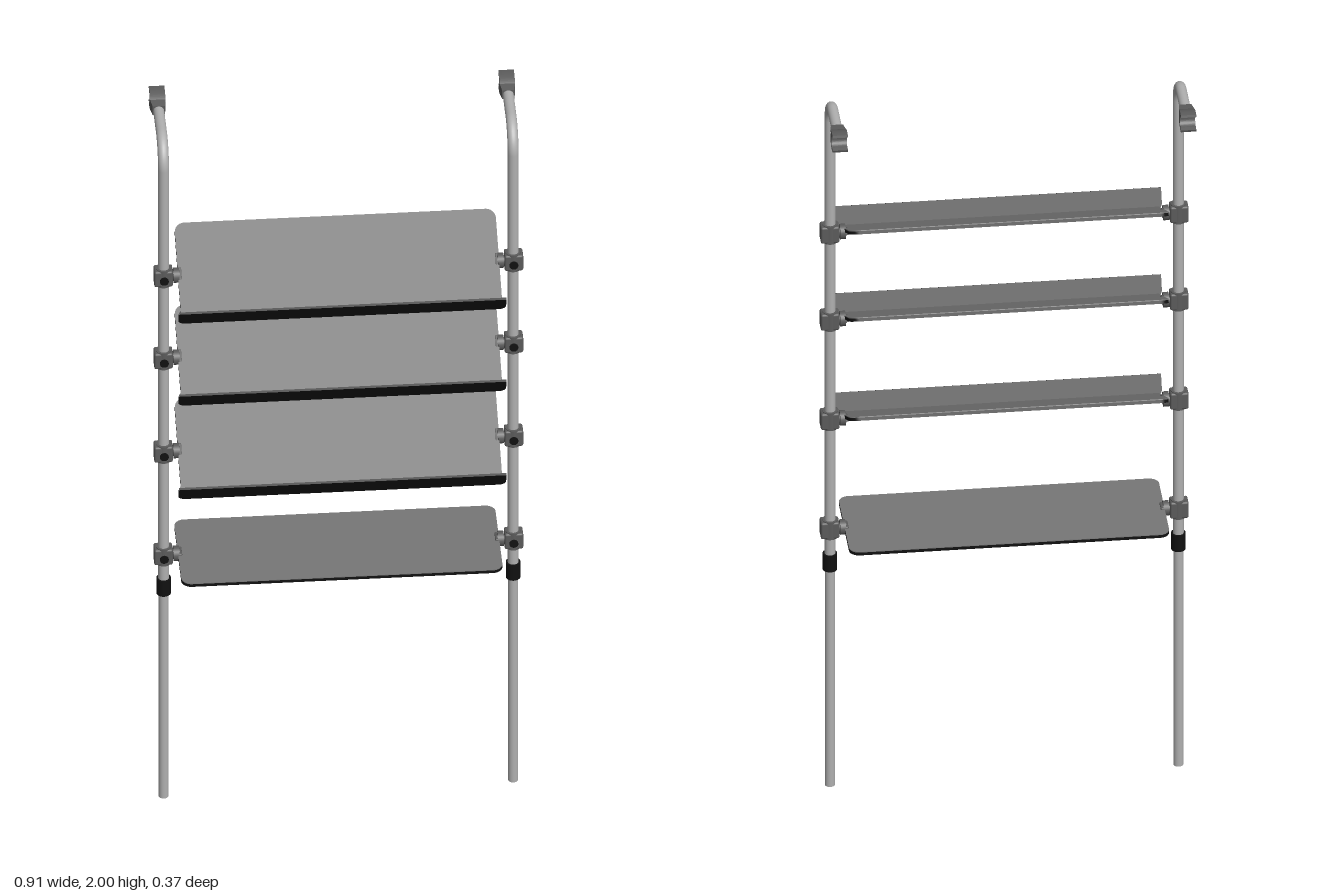
import * as THREE from 'three';
import { RoundedBoxGeometry } from 'three/addons/geometries/RoundedBoxGeometry.js';

const mat = (color) => new THREE.MeshStandardMaterial({ color });
const steel = mat(0xb0b0b0), plastic = mat(0x5c5c5c), black = mat(0x111111), sheet = mat(0x777777);
const POLE_X = 0.43, POLE_Z = 0.04, POLE_R = 0.0135;

function add(parent, name, geometry, material, x = 0, y = 0, z = 0) {
  const mesh = new THREE.Mesh(geometry, material);
  mesh.name = name;
  mesh.position.set(x, y, z);
  parent.add(mesh);
  return mesh;
}

// Rectangle outline with separate corner radii at its lower and upper edges
function roundedRect(x0, y0, x1, y1, rLow, rHigh) {
  const s = new THREE.Shape();
  s.moveTo(x0 + rLow, y0);
  s.lineTo(x1 - rLow, y0);
  if (rLow) s.absarc(x1 - rLow, y0 + rLow, rLow, -Math.PI / 2, 0);
  s.lineTo(x1, y1 - rHigh);
  if (rHigh) s.absarc(x1 - rHigh, y1 - rHigh, rHigh, 0, Math.PI / 2);
  s.lineTo(x0 + rHigh, y1);
  if (rHigh) s.absarc(x0 + rHigh, y1 - rHigh, rHigh, Math.PI / 2, Math.PI);
  s.lineTo(x0, y0 + rLow);
  if (rLow) s.absarc(x0 + rLow, y0 + rLow, rLow, Math.PI, Math.PI * 1.5);
  return s;
}

function plate(shape, depth) {
  return new THREE.ExtrudeGeometry(shape, { depth, bevelEnabled: false, curveSegments: 8 });
}

// Shelf board: dark panel with a grey top sheet, front edge towards +z
function board(rFront) {
  const g = new THREE.Group();
  const shape = roundedRect(-0.395, -0.133, 0.395, 0.133, rFront, 0.025);
  add(g, 'shelfPanel', plate(shape, 0.008).rotateX(-Math.PI / 2).translate(0, -0.005, 0), black);
  add(g, 'shelfTop', plate(shape, 0.002).rotateX(-Math.PI / 2).translate(0, 0.003, 0), sheet);
  return g;
}

function tiltedShelf(y) {
  const g = new THREE.Group();
  g.name = 'tiltedShelf';
  const b = board(0);
  b.rotation.x = 0.49;
  b.position.set(0, 0.005, 0.0375);
  g.add(b);
  // Upturned front lip
  const lip = add(g, 'shelfLip', plate(roundedRect(-0.403, 0, 0.403, 0.056, 0.018, 0), 0.006), black, 0, -0.06, 0.151);
  lip.rotation.x = 0.528;
  g.position.y = y;
  return g;
}

// Clamp round the pole, with a screw in front and a pivot towards the shelf
function clamp(side, y, tilt) {
  const g = new THREE.Group();
  g.name = 'clamp';
  add(g, 'clampBody', new RoundedBoxGeometry(0.046, 0.046, 0.036, 2, 0.005), plastic, 0.001);
  add(g, 'clampRing', new THREE.CylinderGeometry(0.019, 0.019, 0.05, 24), plastic);
  const pivot = add(g, 'pivot', new THREE.CylinderGeometry(0.012, 0.012, 0.03, 20), plastic, -0.025);
  pivot.rotation.z = Math.PI / 2;
  const disc = add(g, 'pivotDisc', new THREE.CylinderGeometry(0.019, 0.019, 0.014, 24), plastic, -0.031);
  disc.rotation.z = Math.PI / 2;
  const grip = add(g, 'shelfGrip', new RoundedBoxGeometry(0.016, 0.018, 0.034, 2, 0.003), plastic, -0.037);
  grip.rotation.x = tilt;
  const screw = add(g, 'screw', new THREE.CylinderGeometry(0.005, 0.005, 0.012, 12), black, 0, 0, 0.02);
  screw.rotation.x = Math.PI / 2;
  const head = add(g, 'screwHead', new THREE.CylinderGeometry(0.011, 0.011, 0.004, 16), black, 0, 0, 0.025);
  head.rotation.x = Math.PI / 2;
  if (side < 0) g.rotation.y = Math.PI, screw.position.z = -0.02, head.position.z = -0.025;
  g.position.set(side * POLE_X, y, POLE_Z);
  if (side < 0) grip.rotation.x = -tilt;
  return g;
}

// Open jaw, drawn sideways (u runs to the back) and extruded across x
function jawGeometry() {
  const s = new THREE.Shape();
  s.moveTo(0, -0.013);
  s.lineTo(0.025, -0.015);
  s.quadraticCurveTo(0.045, -0.027, 0.07, -0.024);
  s.lineTo(0.072, -0.018);
  s.lineTo(0.062, -0.015);
  s.absarc(0.061, 0, 0.016, -Math.PI / 2, Math.PI / 2, true);
  s.lineTo(0.072, 0.018);
  s.lineTo(0.07, 0.024);
  s.quadraticCurveTo(0.045, 0.027, 0.025, 0.015);
  s.lineTo(0, 0.013);
  s.closePath();
  const geo = new THREE.ExtrudeGeometry(s, { depth: 0.038, bevelEnabled: false, curveSegments: 12 });
  geo.translate(0, 0, -0.019).rotateY(Math.PI / 2);
  // Narrow the jaw towards the pole
  const p = geo.attributes.position;
  for (let i = 0; i < p.count; i++) if (p.getZ(i) > -0.01) p.setX(i, p.getX(i) * 0.78);
  geo.computeVertexNormals();
  return geo;
}

function pole(side) {
  const g = new THREE.Group();
  g.name = 'pole';
  const top = 1.973, r = 0.065;
  const path = new THREE.CurvePath();
  const v = (y, z) => new THREE.Vector3(0, y, z);
  path.add(new THREE.LineCurve3(v(0.64, 0), v(top - r, 0)));
  path.add(new THREE.CubicBezierCurve3(v(top - r, 0), v(top - r * 0.45, 0), v(top, -r * 0.45), v(top, -r)));
  path.add(new THREE.LineCurve3(v(top, -r), v(top, -0.165)));
  add(g, 'upperTube', new THREE.TubeGeometry(path, 160, POLE_R, 20), steel);
  add(g, 'lowerTube', new THREE.CylinderGeometry(0.0125, 0.0125, 0.65, 20), steel, 0, 0.325);
  add(g, 'collar', new THREE.CylinderGeometry(0.018, 0.018, 0.046, 24), black, 0, 0.642);
  add(g, 'jaw', jawGeometry(), plastic, 0, top + 0.001, -0.155);
  g.position.set(side * POLE_X, 0, POLE_Z);
  return g;
}

export function createModel() {
  const model = new THREE.Group();
  model.name = 'shelfRack';
  const tilted = [1.05, 1.335, 1.585], flatY = 0.737;
  for (const y of tilted) model.add(tiltedShelf(y));
  // Level bottom shelf
  const flat = board(0.025);
  flat.name = 'flatShelf';
  flat.position.set(0, flatY, 0.042);
  model.add(flat);
  for (const side of [-1, 1]) {
    model.add(pole(side));
    for (const y of tilted) model.add(clamp(side, y, 0.49));
    model.add(clamp(side, flatY, 0));
  }
  return model;
}
